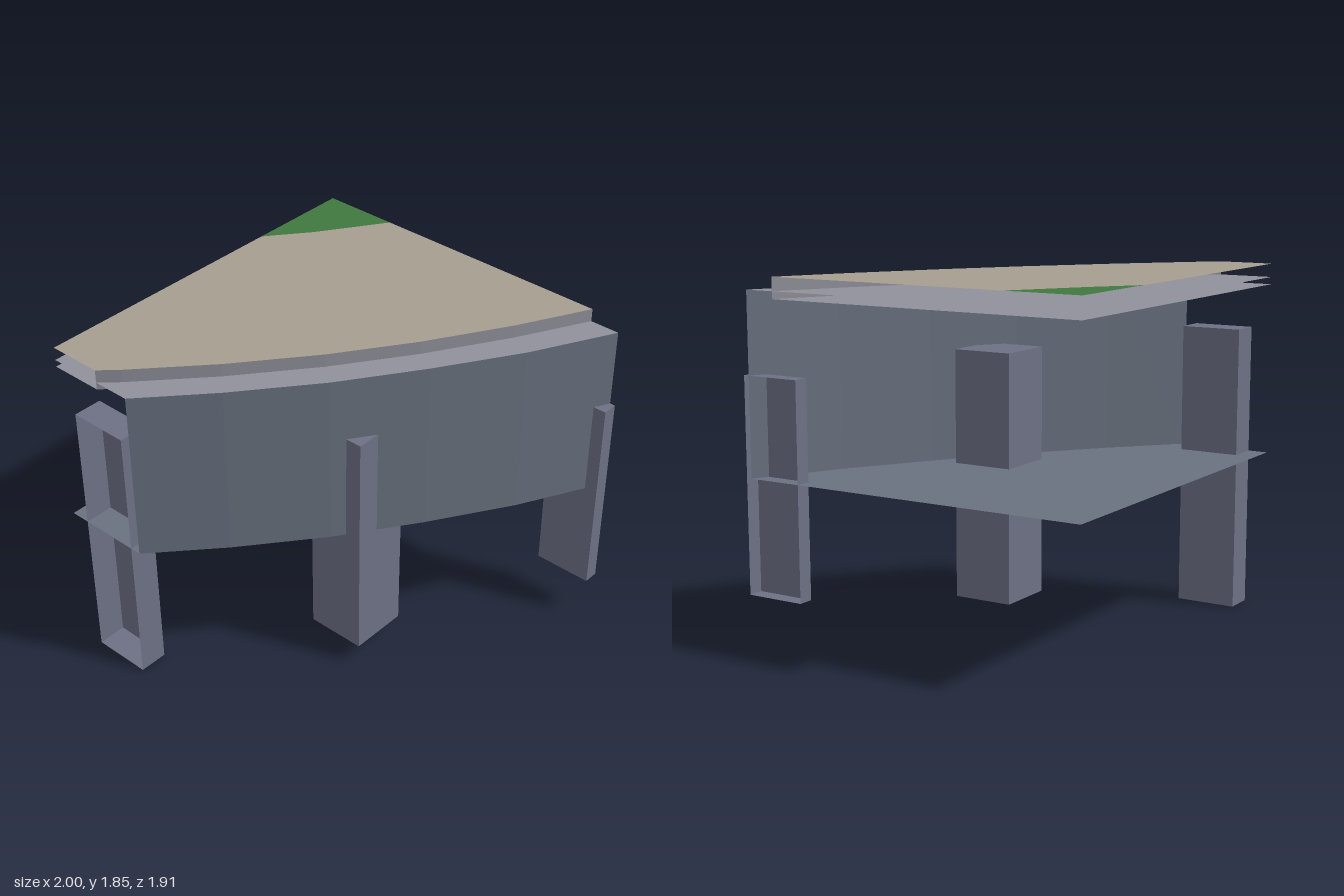
import * as THREE from 'three';

const material = (name, color) => {
  const m = new THREE.MeshStandardMaterial({ color, side: THREE.DoubleSide });
  m.name = name;
  return m;
};

const BACK = -0.957;
// Curved front edges as [x, z], from -x to +x
const WALL_EDGE = [[-1, -0.465], [-0.663, -0.16], [-0.265, 0.16], [0.139, 0.437], [0.56, 0.7], [1, 0.928]];
const DECK_EDGE = [[-1, -0.665], [-0.914, -0.575], [-0.567, -0.258], [-0.18, 0.053], [0.209, 0.322], [0.631, 0.575], [1, 0.767]];
const GRASS_EDGE = [[0.435, BACK], [0.65, -0.785], [1, -0.548]];
const BACK_CORNERS = [[1, BACK], [-1, BACK]];

// Flat horizontal sheet from an [x, z] outline
function sheet(outline, y) {
  const shape = new THREE.Shape(outline.map(([x, z]) => new THREE.Vector2(x, -z)));
  return new THREE.ShapeGeometry(shape).rotateX(-Math.PI / 2).translate(0, y, 0);
}

// Upright band that follows an [x, z] edge
function band(edge, y0, y1) {
  const p = [];
  for (let i = 0; i < edge.length - 1; i++) {
    const [ax, az] = edge[i], [bx, bz] = edge[i + 1];
    p.push(ax, y0, az, bx, y0, bz, bx, y1, bz, ax, y0, az, bx, y1, bz, ax, y1, az);
  }
  const g = new THREE.BufferGeometry();
  g.setAttribute('position', new THREE.Float32BufferAttribute(p, 3));
  g.computeVertexNormals();
  return g;
}

// Box between two corners; openSide removes one face (0 = +x, 1 = -x)
function pier([x0, y0, z0], [x1, y1, z1], openSide) {
  const g = new THREE.BoxGeometry(x1 - x0, y1 - y0, z1 - z0);
  g.translate((x0 + x1) / 2, (y0 + y1) / 2, (z0 + z1) / 2);
  if (openSide !== undefined) {
    const index = Array.from(g.index.array);
    index.splice(openSide * 6, 6);
    g.setIndex(index);
    g.clearGroups();
  }
  return g;
}

export function createModel() {
  const model = new THREE.Group();
  model.name = 'platformSection';
  const wall = material('wall blue grey', 0x69717f);
  const pile = material('pier blue grey', 0x6c7184);
  const kerb = material('kerb grey', 0x8f909a);
  const paving = material('paving tan', 0xa79d90);
  const grass = material('grass green', 0x41783e);

  const add = (name, geometry, mat) => {
    const mesh = new THREE.Mesh(geometry, mat);
    mesh.name = name;
    model.add(mesh);
  };

  // Hull: curved wall, floor and ledge, open where the section is cut
  const hull = [...WALL_EDGE, ...BACK_CORNERS];
  add('curvedWall', band(WALL_EDGE, 0.835, 1.775), wall);
  add('floor', sheet(hull, 0.835), wall);
  add('ledge', sheet(hull, 1.775), kerb);

  // Deck slab set back from the wall
  add('deckRim', band(DECK_EDGE, 1.737, 1.845), kerb);
  add('deckUnderside', sheet([...DECK_EDGE, ...BACK_CORNERS], 1.737), kerb);
  add('deckPaving', sheet([...DECK_EDGE, ...[...GRASS_EDGE].reverse(), [-1, BACK]], 1.845), paving);
  add('grassCorner', sheet([...GRASS_EDGE, [1, BACK]], 1.845), grass);

  // Square piers; the end ones are cut open at the section sides
  add('rightPier', pier([-1, 0, -0.85], [-0.843, 1.505, -0.525], 1), pile);
  add('middlePier', pier([-0.2, 0.12, -0.03], [0.123, 1.43, 0.295]), pile);
  add('leftPier', pier([0.917, 0.235, 0.635], [1, 1.352, 0.957], 0), pile);

  return model;
}
